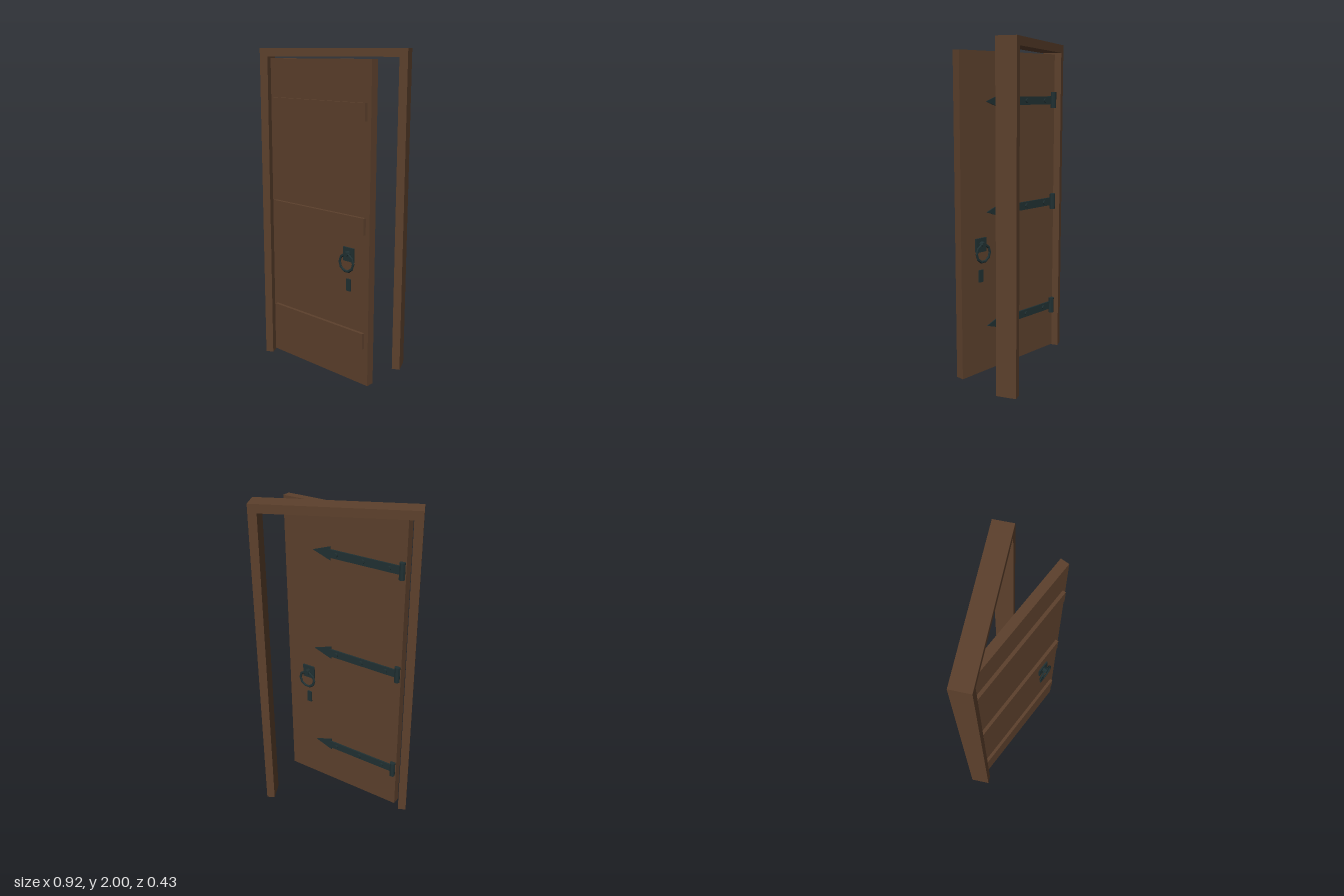
import * as THREE from 'three';

const wood = new THREE.MeshStandardMaterial({ color: 0x5c402c });
wood.name = 'brown wood';
const iron = new THREE.MeshStandardMaterial({ color: 0x203032 });
iron.name = 'dark iron';

const DOOR_W = 0.806, DOOR_T = 0.052;

function add(parent, name, geometry, material, x, y, z) {
  const mesh = new THREE.Mesh(geometry, material);
  mesh.name = name;
  mesh.position.set(x, y, z);
  parent.add(mesh);
  return mesh;
}

// low-poly shapes get one normal per face
const flat = (g) => {
  const f = g.index ? g.toNonIndexed() : g;
  f.computeVertexNormals();
  return f;
};
const box = (w, h, d) => new THREE.BoxGeometry(w, h, d);
// short cylinder whose axis runs along z
const peg = (r, d) => flat(new THREE.CylinderGeometry(r, r, d, 8).rotateX(Math.PI / 2));

// Ring pull with back plate, neck and keyhole plate; z = 0 is the door face
function makeHandle(name) {
  const g = new THREE.Group();
  g.name = name;
  add(g, 'handlePlate', box(0.083, 0.085, 0.01), iron, 0, 0.815, 0.005);
  add(g, 'handleNeck', peg(0.017, 0.038), iron, 0, 0.822, 0.019);
  add(g, 'pullRing', flat(new THREE.TorusGeometry(0.053, 0.009, 6, 10).scale(1, 1, 0.75)), iron, 0, 0.768, 0.026);
  add(g, 'keyholePlate', box(0.032, 0.075, 0.008), iron, 0, 0.625, 0.004);
  return g;
}

// Strap hinge with barrel, rivets and arrowhead on the back of the door
function makeHinge(y) {
  const g = new THREE.Group();
  g.name = 'strapHinge';
  g.position.set(0, y, -DOOR_T);
  add(g, 'strap', box(0.475, 0.05, 0.01), iron, 0.2575, 0, -0.005);
  add(g, 'barrel', flat(new THREE.CylinderGeometry(0.018, 0.018, 0.1, 8)), iron, 0.02, 0, -0.01);
  for (const x of [0.1, 0.267, 0.443]) add(g, 'rivet', peg(0.013, 0.012), iron, x, 0, -0.014);
  const head = new THREE.Shape();
  head.moveTo(0.485, -0.042);
  head.lineTo(0.605, 0);
  head.lineTo(0.485, 0.042);
  head.closePath();
  add(g, 'arrowhead', new THREE.ExtrudeGeometry(head, { depth: 0.006, bevelEnabled: false }), iron, 0, 0, -0.006);
  return g;
}

export function createModel() {
  const model = new THREE.Group();
  model.name = 'openDoor';

  // Door frame: two posts and a lintel in one outline
  const outline = new THREE.Shape([
    [-0.46, 0], [-0.41, 0], [-0.41, 1.95], [0.41, 1.95],
    [0.41, 0], [0.46, 0], [0.46, 2], [-0.46, 2],
  ].map(([x, y]) => new THREE.Vector2(x, y)));
  add(model, 'frame', new THREE.ExtrudeGeometry(outline, { depth: 0.12, bevelEnabled: false }), wood, 0, 0, -0.217);

  // Door leaf, swung open about its left edge
  const door = new THREE.Group();
  door.name = 'door';
  door.position.set(-0.405, 0, -0.135);
  door.rotation.y = -THREE.MathUtils.degToRad(25);
  model.add(door);
  add(door, 'doorPanel', box(DOOR_W, 1.925, DOOR_T), wood, DOOR_W / 2, 0.9775, -DOOR_T / 2);

  // Cross battens in front, strap hinges behind
  for (const y of [0.3, 1.005, 1.655]) {
    add(door, 'batten', box(0.75, 0.1, 0.02), wood, DOOR_W / 2, y, 0.01);
    door.add(makeHinge(y));
  }

  // Ring handles on both faces
  const front = makeHandle('frontHandle');
  front.position.set(0.655, 0, 0);
  const back = makeHandle('backHandle');
  back.position.set(0.655, 0, -DOOR_T);
  back.rotation.y = Math.PI;
  door.add(front, back);

  return model;
}
